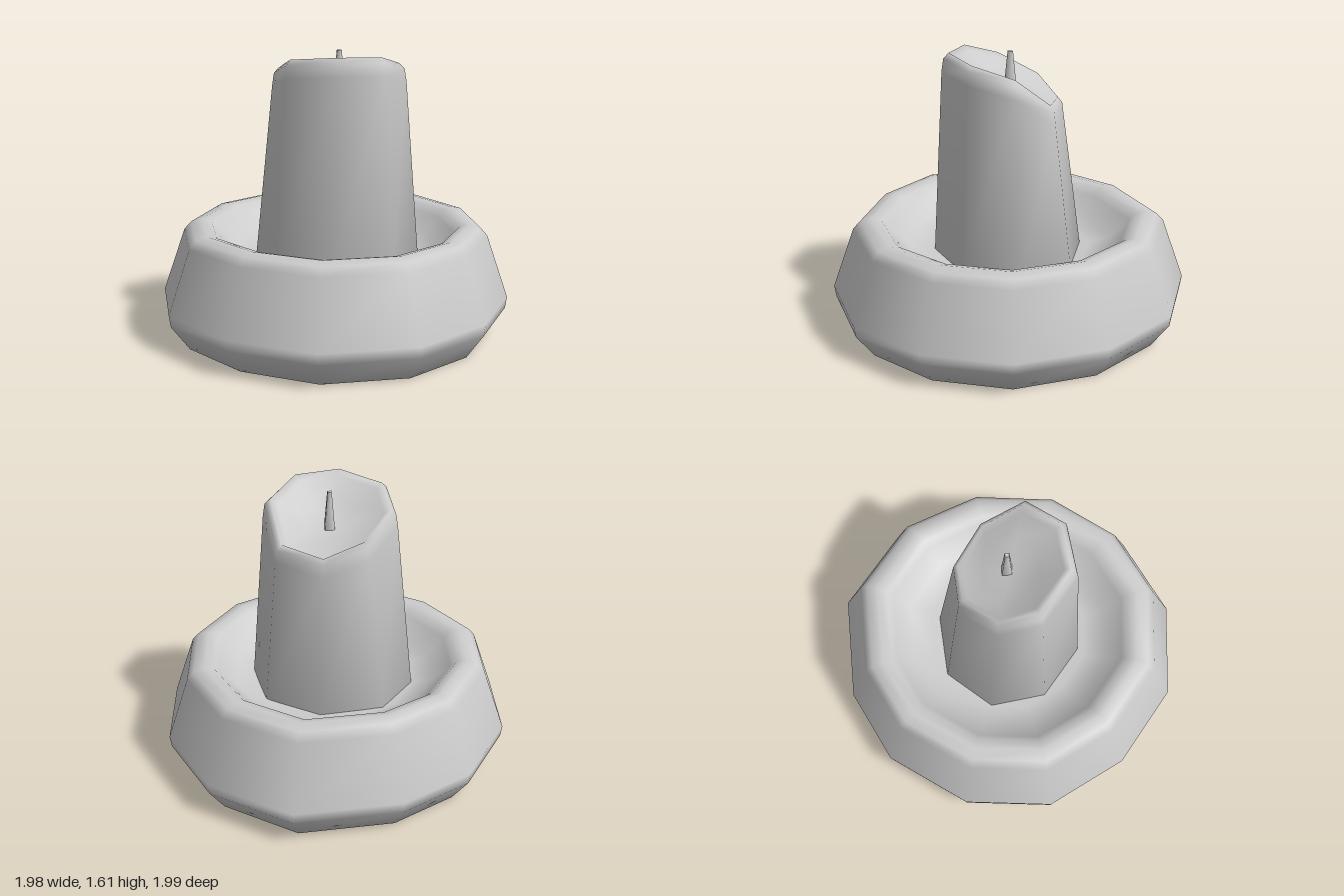
import * as THREE from 'three';
import { mergeVertices } from 'three/addons/utils/BufferGeometryUtils.js';

const wax = new THREE.MeshStandardMaterial({ color: 0xcccccc });
wax.name = 'pale grey';

// Hand-cut outlines as [x, z] corners, clockwise from the back
const dishOutline = [[0.05, -1], [0.54, -0.81], [0.89, -0.41], [0.985, 0.08], [0.85, 0.55], [0.45, 0.91],
  [-0.06, 0.99], [-0.54, 0.86], [-0.87, 0.49], [-0.99, -0.02], [-0.87, -0.46], [-0.48, -0.91]];
const candleBase = [[0.13, -0.43], [0.4, -0.24], [0.43, 0.1], [0.21, 0.37],
  [-0.13, 0.42], [-0.39, 0.24], [-0.43, -0.08], [-0.21, -0.36]];
const candleTop = [[0.13, -0.33], [0.34, -0.19], [0.37, 0.08], [0.2, 0.31],
  [-0.11, 0.35], [-0.295, 0.2], [-0.31, -0.07], [-0.15, -0.27]];
// Height of the sloping candle lip at each corner
const lip = [1.36, 1.535, 1.595, 1.605, 1.58, 1.51, 1.41, 1.33];

// One cross-section: an outline scaled by s, at a height given as number or rule
function ring(outline, s, y) {
  return outline.map(([x, z], i) => [x * s, typeof y === 'number' ? y : y(i), z * s]);
}

// Smooth skin over a stack of rings running from the bottom up and inward
function loft(name, rings) {
  const n = rings[0].length;
  const index = [];
  for (let r = 0; r < rings.length - 1; r++) {
    for (let i = 0; i < n; i++) {
      const a = r * n + i, c = r * n + (i + 1) % n;
      index.push(a, a + n, c, c, a + n, c + n);
    }
  }
  let geo = new THREE.BufferGeometry();
  geo.setAttribute('position', new THREE.Float32BufferAttribute(rings.flat(2), 3));
  geo.setIndex(index);
  geo = mergeVertices(geo);
  geo.computeVertexNormals();
  const mesh = new THREE.Mesh(geo, wax);
  mesh.name = name;
  return mesh;
}

export function createModel() {
  const group = new THREE.Group();
  group.name = 'candleInDish';

  // Dish: flat foot, bulging wall, soft rim and shallow bowl
  const dishProfile = [[0, 0], [0.885, 0], [0.99, 0.145], [1, 0.21], [0.875, 0.57], [0.835, 0.615],
    [0.77, 0.63], [0.715, 0.615], [0.68, 0.58], [0.58, 0.485], [0.46, 0.445], [0, 0.43]];
  group.add(loft('dish', dishProfile.map(([s, y]) => ring(dishOutline, s, y))));

  // Candle: tapered body, bevelled sloping lip and a hollow top
  group.add(loft('candle', [
    ring(candleBase, 0, 0.44),
    ring(candleBase, 1, 0.44),
    ring(candleTop, 1, i => lip[i] - 0.1),
    ring(candleTop, 0.97, i => lip[i] - 0.03),
    ring(candleTop, 0.89, i => lip[i]),
    ring(candleTop, 0.79, i => lip[i] - 0.025),
    ring(candleTop, 0.45, i => 1.41 + (lip[i] - 1.41) * 0.4),
    ring(candleTop, 0, 1.39),
  ]));

  // Wick: thin four-sided spike
  const wick = new THREE.Mesh(new THREE.CylinderGeometry(0.016, 0.042, 0.24, 4), wax);
  wick.name = 'wick';
  wick.position.set(0.01, 1.485, -0.015);
  group.add(wick);

  return group;
}
